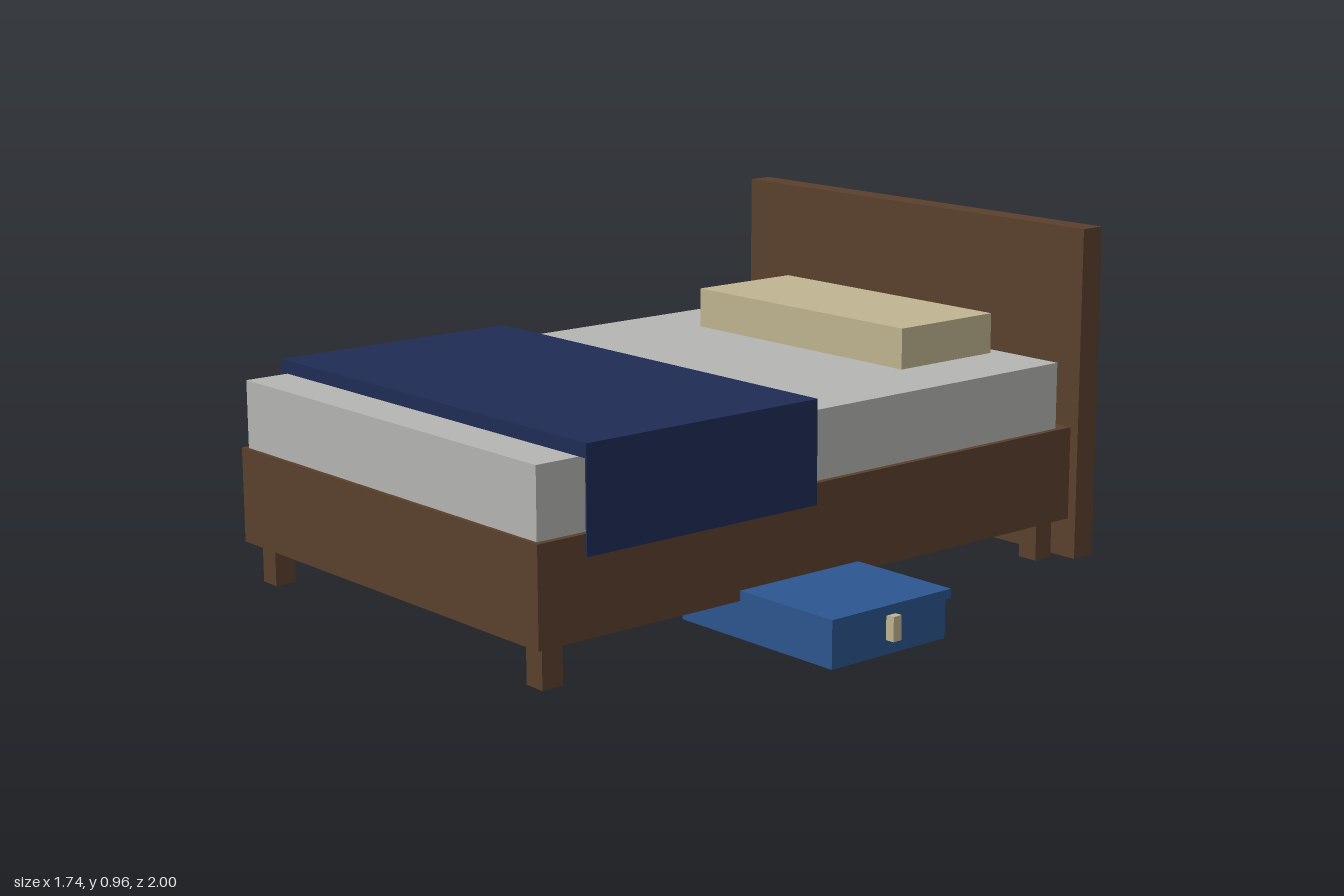
import * as THREE from 'three';

const material = (name, color) => {
  const m = new THREE.MeshStandardMaterial({ color });
  m.name = name;
  return m;
};

export function createModel() {
  const wood = material('brown wood', 0x5b402d);
  const sheet = material('grey sheet', 0xb5b5b3);
  const navy = material('navy blanket', 0x202c56);
  const cream = material('cream', 0xc0b592);
  const blue = material('blue box', 0x2c5690);

  const bed = new THREE.Group();
  bed.name = 'bed';

  // Box given by its extents along each axis
  const box = (name, mat, [x0, x1], [y0, y1], [z0, z1], parent = bed) => {
    const mesh = new THREE.Mesh(new THREE.BoxGeometry(x1 - x0, y1 - y0, z1 - z0), mat);
    mesh.position.set((x0 + x1) / 2, (y0 + y1) / 2, (z0 + z1) / 2);
    mesh.name = name;
    parent.add(mesh);
  };

  // Wooden bedstead
  box('headboard', wood, [-0.87, 0.53], [0, 0.962], [-1, -0.923]);
  box('frame', wood, [-0.842, 0.502], [0.116, 0.386], [-0.923, 1]);
  for (const [side, x] of [['right', -0.777], ['left', 0.437]]) {
    for (const [end, z] of [['front', 0.933], ['back', -0.857]]) {
      box(`${end} ${side} leg`, wood, [x - 0.032, x + 0.032], [0, 0.116], [z - 0.032, z + 0.032]);
    }
  }

  // Bedding
  box('mattress', sheet, [-0.825, 0.485], [0.386, 0.578], [-0.878, 0.988]);
  box('pillow', cream, [-0.602, 0.262], [0.578, 0.695], [-0.838, -0.475]);
  box('blanket', navy, [-0.852, 0.513], [0.578, 0.616], [0.085, 0.855]);
  box('blanketDrop', navy, [0.508, 0.513], [0.33, 0.578], [0.085, 0.855]);

  // Storage box pulled out from under the bed
  const storage = new THREE.Group();
  storage.name = 'storageBox';
  bed.add(storage);
  box('storageBody', blue, [0.265, 0.84], [0.011, 0.118], [-0.067, 0.338], storage);
  box('storageLid', blue, [0.255, 0.848], [0.118, 0.144], [-0.079, 0.345], storage);
  box('latch', cream, [0.84, 0.867], [0.05, 0.117], [0.12, 0.148], storage);

  return bed;
}
